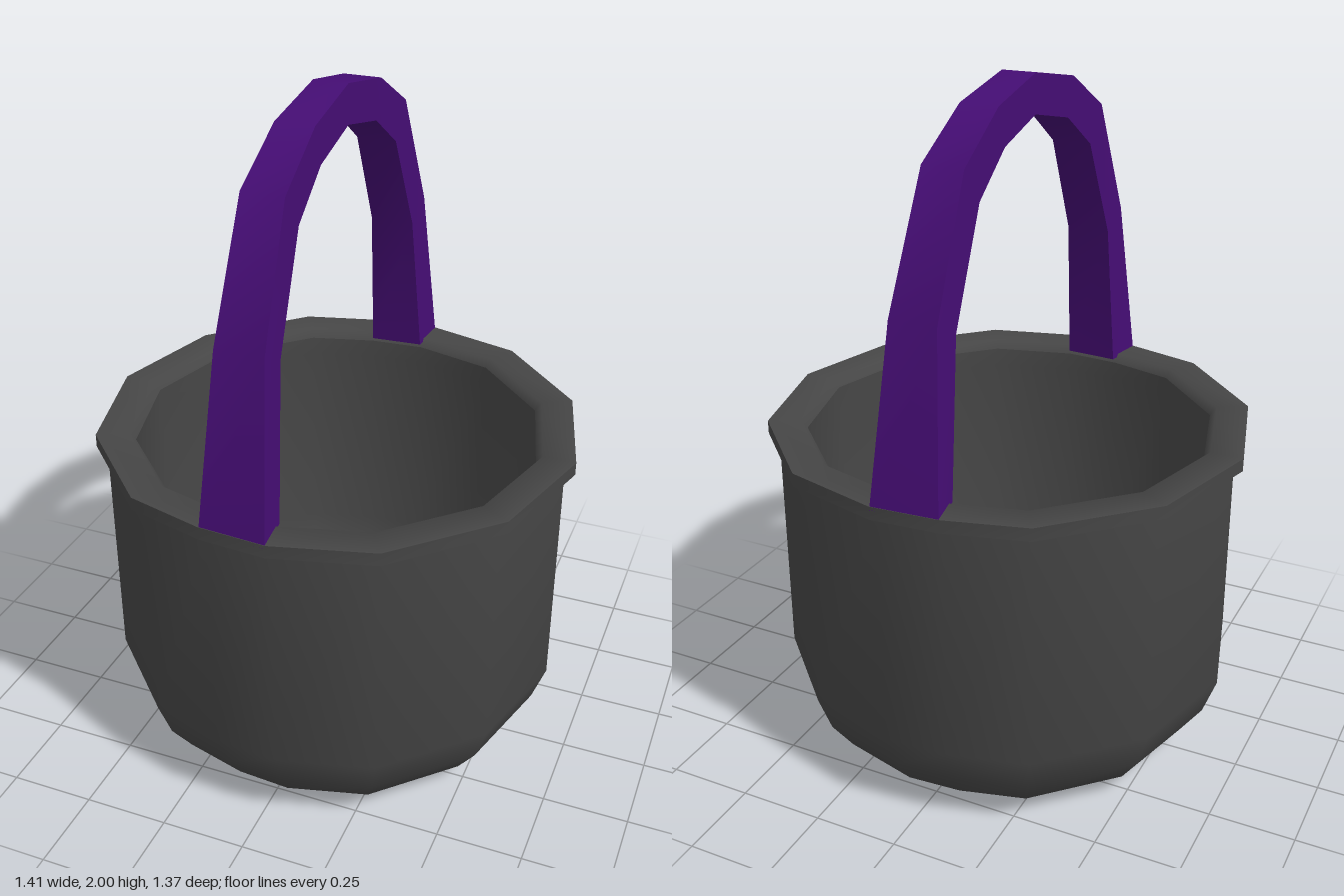
import * as THREE from 'three';
import { toCreasedNormals } from 'three/addons/utils/BufferGeometryUtils.js';

// Skins a list of closed rings (each a list of [x, y, z]) into one surface
function loft(rings, crease) {
  const n = rings[0].length;
  const index = [];
  for (let i = 0; i < rings.length - 1; i++) {
    for (let j = 0; j < n; j++) {
      const a = i * n + j, b = i * n + (j + 1) % n;
      index.push(a, a + n, b, b, a + n, b + n);
    }
  }
  const g = new THREE.BufferGeometry();
  g.setAttribute('position', new THREE.Float32BufferAttribute(rings.flat(2), 3));
  g.setIndex(index);
  return toCreasedNormals(g, crease);
}

// Twelve-sided unit outline, its front and back corners cut where the handle lands
function unitOutline() {
  const pts = [];
  for (let k = 0; k < 12; k++) {
    const a = k * Math.PI / 6;
    if (k === 3) pts.push([0.1, 0.973], [-0.175, 0.954]);
    else if (k === 9) pts.push([-0.175, -0.954], [0.1, -0.973]);
    else pts.push([Math.cos(a), Math.sin(a)]);
  }
  return pts;
}

export function createModel() {
  const group = new THREE.Group();
  const potGrey = new THREE.MeshStandardMaterial({ color: 0x464646 });
  potGrey.name = 'potGrey';
  const handlePurple = new THREE.MeshStandardMaterial({ color: 0x450d74 });
  handlePurple.name = 'handlePurple';
  const add = (name, geometry, material) => {
    const mesh = new THREE.Mesh(geometry, material);
    mesh.name = name;
    group.add(mesh);
  };

  const outline = unitOutline();
  const turned = (profile) => profile.map(([r, y]) => outline.map(([x, z]) => [x * r, y, z * r]));

  // Outer wall with rounded base
  add('outerWall', loft(turned([
    [0.001, 0], [0.42, 0], [0.57, 0.07], [0.635, 0.16], [0.675, 0.27], [0.675, 0.98],
  ]), 1.0), potGrey);

  // Flat overhanging rim with a softened inner lip
  add('rim', loft(turned([
    [0.67, 0.972], [0.705, 0.972], [0.705, 1.01], [0.61, 1.01], [0.592, 0.985],
  ]), 1.0), potGrey);

  // Hollow inside
  add('innerWall', loft(turned([
    [0.592, 0.985], [0.59, 0.93], [0.585, 0.3], [0.55, 0.19], [0.49, 0.12], [0.36, 0.07], [0.001, 0.07],
  ]), 1.0), potGrey);

  // Arched handle: outer z, y; inner z, y; outer left/right x; inner left/right x
  const half = [
    [0.686, 1.0, 0.565, 1.0, -0.123, 0.07, -0.1, 0.058],
    [0.6, 1.49, 0.5, 1.44, -0.092, 0.045, -0.09, 0.042],
    [0.435, 1.84, 0.355, 1.74, -0.085, 0.034, -0.085, 0.034],
    [0.235, 1.955, 0.2, 1.845, -0.08, 0.03, -0.08, 0.03],
    [0, 2, 0, 1.89, -0.073, 0.026, -0.073, 0.026],
  ];
  const mirrored = half.slice(0, -1).reverse()
    .map(([zo, yo, zi, ...rest]) => [-zo, yo, -zi, ...rest]);
  const sections = [...half, ...mirrored].map(([zo, yo, zi, yi, lo, ro, li, ri]) => [
    [ri, yi, zi], [ro, yo, zo], [lo, yo, zo], [li, yi, zi],
  ]);
  // The feet follow the slightly slanted rim edge
  for (const s of [sections[0], sections[sections.length - 1]]) {
    s[2][2] *= 0.98;
    s[3][2] *= 0.98;
  }
  add('handle', loft(sections, 0.9), handlePurple);

  return group;
}
